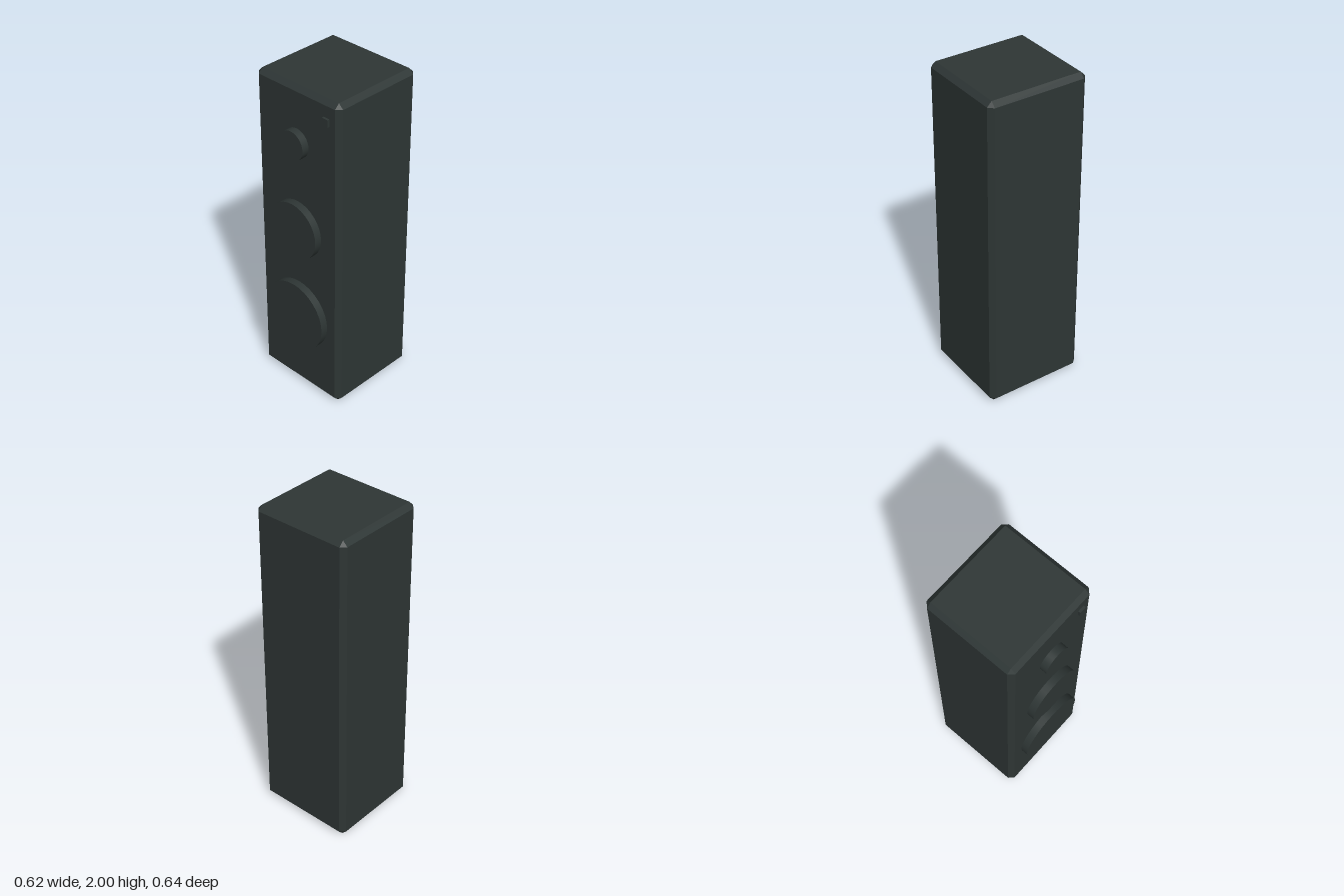
import * as THREE from 'three';
import { ConvexGeometry } from 'three/addons/geometries/ConvexGeometry.js';

// Box with every edge cut by a flat chamfer: each corner becomes three points
function chamferedBox(w, h, d, c) {
  const points = [];
  for (const sx of [-1, 1]) for (const sy of [-1, 1]) for (const sz of [-1, 1]) {
    const x = w / 2, y = h / 2, z = d / 2;
    points.push(
      new THREE.Vector3(sx * x, sy * (y - c), sz * (z - c)),
      new THREE.Vector3(sx * (x - c), sy * y, sz * (z - c)),
      new THREE.Vector3(sx * (x - c), sy * (y - c), sz * z)
    );
  }
  return new ConvexGeometry(points);
}

export function createModel() {
  const model = new THREE.Group();
  model.name = 'towerSpeaker';
  const charcoal = new THREE.MeshStandardMaterial({ color: 0x2e3635 });
  charcoal.name = 'charcoal';

  const add = (name, geometry, x, y, z) => {
    const mesh = new THREE.Mesh(geometry, charcoal);
    mesh.name = name;
    mesh.position.set(x, y, z);
    model.add(mesh);
  };

  // Cabinet, set back so the drivers reach the front limit
  const back = -0.319, front = 0.273;
  add('cabinet', chamferedBox(0.622, 2, front - back, 0.029), 0, 1, (front + back) / 2);

  // Round drivers standing proud of the front
  const driverFront = 0.318, depth = 0.06;
  const drivers = [
    ['tweeter', 0.088, 1.663],
    ['midrangeDriver', 0.177, 1.114],
    ['woofer', 0.221, 0.522],
  ];
  for (const [name, radius, y] of drivers) {
    const disc = new THREE.CylinderGeometry(radius, radius, depth, 32).rotateX(Math.PI / 2);
    add(name, disc, 0, y, driverFront - depth / 2);
  }

  // Small square badge in the upper corner
  add('badge', new THREE.BoxGeometry(0.043, 0.043, 0.03), 0.222, 1.88, 0.272);

  return model;
}
